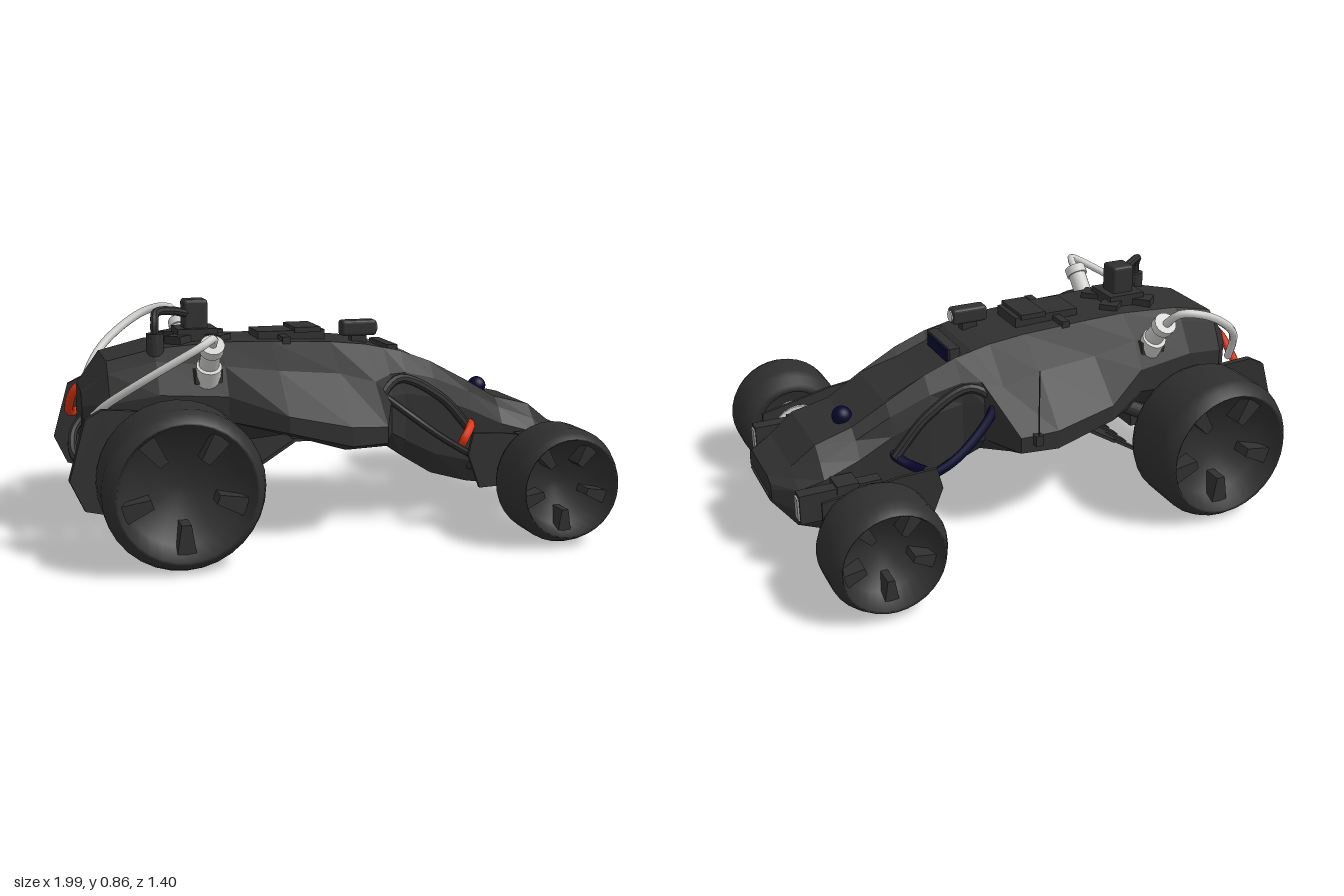
import * as THREE from 'three';
import { RoundedBoxGeometry } from 'three/addons/geometries/RoundedBoxGeometry.js';

function mat(name, color, opts = {}) {
  const m = new THREE.MeshStandardMaterial({ color, ...opts });
  m.name = name;
  return m;
}

export function createModel() {
  const root = new THREE.Group();
  root.name = 'buggy';
  const dark = mat('charcoal', 0x303030, { flatShading: true, side: THREE.DoubleSide });
  const tyre = mat('rubber', 0x2f2f2f, { side: THREE.DoubleSide });
  const grey = mat('light grey', 0xd2d2d0);
  const lens = mat('lens grey', 0x9c9c9a);
  const navy = mat('navy', 0x07072e);
  const red = mat('red', 0xe03512);

  const add = (parent, name, geo, material, x = 0, y = 0, z = 0) => {
    const m = new THREE.Mesh(geo, material);
    m.name = name;
    m.position.set(x, y, z);
    parent.add(m);
    return m;
  };
  const box = (parent, name, m, w, h, d, x, y, z) =>
    add(parent, name, new THREE.BoxGeometry(w, h, d), m, x, y, z);
  const hose = (parent, name, m, r, ...pts) => {
    const curve = new THREE.CatmullRomCurve3(pts.map(p => new THREE.Vector3(...p)));
    return add(parent, name, new THREE.TubeGeometry(curve, 28, r, 8), m);
  };
  // Cylinder running from a to b
  const rod = (parent, name, m, a, b, r0, r1 = r0, n = 16) => {
    const p = new THREE.Vector3(...a), q = new THREE.Vector3(...b), d = q.clone().sub(p);
    const c = add(parent, name, new THREE.CylinderGeometry(r1, r0, d.length(), n), m);
    c.position.copy(p).add(q).multiplyScalar(0.5);
    c.quaternion.setFromUnitVectors(new THREE.Vector3(0, 1, 0), d.normalize());
    return c;
  };
  const outline = pts => new THREE.Shape(pts.map(p => new THREE.Vector2(...p)));
  const plate = (parent, name, pts, depth, z) =>
    add(parent, name, new THREE.ExtrudeGeometry(outline(pts), { depth, bevelEnabled: false }), dark, 0, 0, z);

  // Body shell cross-sections: x, floor y, side half width, side low y, side high y, shoulder half width, shoulder y, roof y
  const stations = [
    [-0.92, 0.36, 0.13, 0.40, 0.50, 0.11, 0.54, 0.55],
    [-0.83, 0.33, 0.23, 0.40, 0.52, 0.18, 0.62, 0.66],
    [-0.66, 0.36, 0.27, 0.42, 0.55, 0.20, 0.66, 0.70],
    [-0.42, 0.36, 0.31, 0.45, 0.54, 0.25, 0.64, 0.715],
    [-0.23, 0.40, 0.43, 0.42, 0.48, 0.28, 0.62, 0.71],
    [0.00, 0.33, 0.44, 0.36, 0.43, 0.28, 0.60, 0.70],
    [0.14, 0.33, 0.42, 0.36, 0.42, 0.27, 0.56, 0.685],
    [0.21, 0.30, 0.26, 0.36, 0.50, 0.235, 0.58, 0.67],
    [0.28, 0.25, 0.22, 0.32, 0.50, 0.21, 0.58, 0.655],
    [0.40, 0.175, 0.22, 0.26, 0.48, 0.20, 0.55, 0.61],
    [0.55, 0.13, 0.21, 0.22, 0.42, 0.19, 0.49, 0.53],
    [0.68, 0.11, 0.22, 0.20, 0.36, 0.18, 0.42, 0.455],
    [0.82, 0.10, 0.24, 0.20, 0.32, 0.20, 0.37, 0.42],
    [0.91, 0.13, 0.22, 0.20, 0.29, 0.18, 0.32, 0.35],
    [0.99, 0.22, 0.15, 0.24, 0.28, 0.14, 0.30, 0.315],
  ];
  const verts = [], faces = [], N = 14;
  for (const [x, floor, side, low, high, shoulder, ys, roof] of stations) {
    const flat = Math.min(0.15, shoulder * 0.78);
    const sunk = roof - (x > 0.27 && x < 0.5 ? 0.035 : 0); // recessed bonnet panel
    const half = [[0, floor], [side * 0.8, floor], [side, low], [side, high], [shoulder, ys], [flat, roof], [flat - 0.015, sunk], [0, sunk]];
    const ring = half.concat(half.slice(1, 7).reverse().map(([z, y]) => [-z, y]));
    for (const [z, y] of ring) verts.push(x, y, z);
  }
  for (let i = 0; i < stations.length - 1; i++)
    for (let j = 0; j < N; j++) {
      const a = i * N + j, b = i * N + (j + 1) % N;
      faces.push(a, a + N, b, b, a + N, b + N);
    }
  const end = (stations.length - 1) * N;
  for (let j = 1; j < N - 1; j++) faces.push(0, j, j + 1, end, end + j + 1, end + j);
  const shell = new THREE.BufferGeometry();
  shell.setAttribute('position', new THREE.Float32BufferAttribute(verts, 3));
  shell.setIndex(faces);
  shell.computeVertexNormals();
  add(root, 'bodyShell', shell, dark);

  // Dished wheel with five wedge spokes, outer face towards +z
  const wheel = (R, w) => {
    const g = new THREE.Group();
    g.name = 'wheel';
    const prof = [[0, 0.03], [R * 0.6, 0.03], [R * 0.66, 0], [R * 0.8, 0], [R - 0.015, 0.027], [R, 0.06],
      [R, w - 0.06], [R - 0.012, w - 0.03], [R * 0.87, w], [R * 0.84, w - 0.005], [R * 0.72, w - 0.09], [R * 0.2, w - 0.14], [0, w - 0.14]];
    const geo = new THREE.LatheGeometry(prof.map(p => new THREE.Vector2(...p)), 32);
    geo.rotateX(Math.PI / 2);
    add(g, 'tyre', geo, tyre);
    const wedge = [[-0.12, 0.79], [0.12, 0.79], [0.06, 0.42], [-0.06, 0.42]].map(([x, y]) => [x * R, y * R]);
    for (let i = 0; i < 5; i++)
      plate(g, 'spoke', wedge, 0.08, w - 0.125).rotation.z = (i / 5) * Math.PI * 2 + Math.PI;
    return g;
  };

  // Everything mirrored left and right
  for (const s of [1, -1]) {
    const g = new THREE.Group();
    g.name = s > 0 ? 'leftSide' : 'rightSide';
    g.scale.z = s;
    root.add(g);
    const rear = wheel(0.278, 0.295), front = wheel(0.21, 0.245);
    rear.position.set(-0.627, 0.278, 0.33);
    front.position.set(0.733, 0.217, 0.457);
    g.add(rear, front);

    // Axles and hubs
    const rearAt = z => [-0.627, 0.278, z], frontAt = z => [0.733, 0.217, z];
    rod(g, 'rearAxle', dark, rearAt(0), rearAt(0.36), 0.06);
    rod(g, 'rearHub', grey, rearAt(0.305), rearAt(0.365), 0.13, 0.165, 24);
    rod(g, 'frontAxle', dark, frontAt(0), frontAt(0.4), 0.05);
    rod(g, 'frontHub', grey, frontAt(0.335), frontAt(0.38), 0.07, 0.08, 24);
    rod(g, 'frontHubDrum', grey, frontAt(0.38), frontAt(0.465), 0.11, 0.1, 24);
    rod(g, 'wishbone', dark, [0.55, 0.2, 0.18], [0.72, 0.2, 0.38], 0.018);
    rod(g, 'rearArm', dark, [-0.3, 0.42, 0.25], [-0.6, 0.27, 0.29], 0.03);

    // Headlight pod
    box(g, 'headlightPod', dark, 0.3, 0.11, 0.05, 0.785, 0.267, 0.293);
    box(g, 'headlightHousing', dark, 0.08, 0.14, 0.085, 0.76, 0.26, 0.28);
    box(g, 'headlightLens', lens, 0.008, 0.085, 0.036, 0.938, 0.267, 0.293);

    // Mud guards inside the wheels
    plate(g, 'frontGuard', [[0.45, 0.3], [0.47, 0.38], [0.6, 0.37], [0.88, 0.32], [0.88, 0.25], [0.6, 0.17], [0.5, 0.17]], 0.012, 0.46).rotation.y = 0.09;
    plate(g, 'rearGuard', [[-0.94, 0.5], [-0.88, 0.53], [-0.6, 0.5], [-0.72, 0.35], [-0.8, 0.14], [-0.95, 0.18], [-1, 0.29]], 0.025, 0.255).rotation.y = 0.11;

    // Arch frame ahead of the wide body
    hose(g, 'archFrame', dark, 0.018, [0.14, 0.34, 0.3], [0.16, 0.49, 0.27], [0.25, 0.56, 0.225], [0.42, 0.48, 0.22], [0.55, 0.34, 0.22]);

    // Exhaust socket
    box(g, 'exhaustBase', dark, 0.1, 0.05, 0.06, -0.485, 0.61, 0.25);
    rod(g, 'exhaustFlange', grey, [-0.485, 0.59, 0.245], [-0.485, 0.65, 0.285], 0.046);
    rod(g, 'exhaustPipe', grey, [-0.485, 0.62, 0.25], [-0.485, 0.725, 0.345], 0.036);
    rod(g, 'exhaustCollar', grey, [-0.485, 0.71, 0.33], [-0.485, 0.735, 0.355], 0.043);

    // Roof ridge
    box(g, 'roofRidge', dark, 0.03, 0.03, 0.08, -0.17, 0.71, 0.12);
  }

  // Exhaust hoses
  hose(root, 'leftExhaustHose', grey, 0.015, [-0.485, 0.73, 0.35], [-0.49, 0.762, 0.4], [-0.54, 0.74, 0.435], [-0.72, 0.63, 0.385], [-0.85, 0.53, 0.29], [-0.89, 0.48, 0.23]);
  hose(root, 'rightExhaustHose', grey, 0.016, [-0.485, 0.72, -0.345], [-0.51, 0.785, -0.41], [-0.6, 0.775, -0.435], [-0.77, 0.67, -0.37], [-0.86, 0.56, -0.27], [-0.88, 0.48, -0.22]);

  // Coloured and dark cables
  hose(root, 'redRearHose', red, 0.017, [-0.86, 0.58, -0.09], [-0.925, 0.52, -0.1], [-0.945, 0.44, -0.17], [-0.925, 0.41, -0.24], [-0.87, 0.42, -0.285], [-0.79, 0.44, -0.26]);
  hose(root, 'darkRearHose', dark, 0.016, [-0.88, 0.48, 0.05], [-0.95, 0.4, 0.09], [-0.95, 0.32, 0.17], [-0.86, 0.33, 0.26]);
  hose(root, 'redFrontHose', red, 0.017, [0.49, 0.28, 0.25], [0.5, 0.325, 0.275], [0.54, 0.365, 0.235], [0.55, 0.37, 0.19]);
  hose(root, 'navyLongHose', navy, 0.018, [0.17, 0.52, -0.27], [0.21, 0.46, -0.295], [0.37, 0.34, -0.335], [0.52, 0.28, -0.32], [0.65, 0.26, -0.3]);
  hose(root, 'navyShortHose', navy, 0.018, [0.47, 0.32, -0.325], [0.5, 0.32, -0.27], [0.54, 0.34, -0.22], [0.56, 0.37, -0.18]);
  hose(root, 'darkFrontHose', dark, 0.014, [0.17, 0.51, 0.26], [0.27, 0.43, 0.33], [0.38, 0.35, 0.34], [0.63, 0.2, 0.29]);

  // Visor slot and beacon
  box(root, 'visorFrame', dark, 0.04, 0.05, 0.22, 0.262, 0.648, 0);
  box(root, 'visor', navy, 0.008, 0.045, 0.18, 0.286, 0.642, 0);
  add(root, 'beacon', new THREE.SphereGeometry(0.037, 20, 14), navy, 0.688, 0.466, -0.055);

  // Nose grille, following the sloped chin
  const grille = new THREE.Group();
  grille.name = 'noseGrille';
  grille.position.set(0.922, 0.2, 0);
  grille.rotation.z = -0.6;
  root.add(grille);
  add(grille, 'grilleBlock', new RoundedBoxGeometry(0.06, 0.17, 0.26, 2, 0.012), dark);
  for (let i = 0; i < 8; i++) box(grille, 'grilleBar', dark, 0.014, 0.009, 0.24, 0.032, -0.072 + i * 0.0205, 0);

  // Roof stack with its cross base and side hose
  for (const a of [1, -1])
    box(root, 'stackBase', dark, 0.28, 0.03, 0.07, -0.485, 0.72, 0).rotation.y = a * Math.PI / 4;
  box(root, 'stackFoot', dark, 0.15, 0.05, 0.15, -0.485, 0.73, 0);
  add(root, 'roofStack', new RoundedBoxGeometry(0.09, 0.13, 0.09, 2, 0.012), dark, -0.485, 0.795, 0);
  hose(root, 'stackHose', dark, 0.016, [-0.52, 0.81, 0.03], [-0.58, 0.825, 0.07], [-0.645, 0.825, 0.12], [-0.655, 0.79, 0.15], [-0.655, 0.71, 0.15]);
  rod(root, 'hoseSocket', dark, [-0.655, 0.66, 0.15], [-0.655, 0.755, 0.15], 0.032);

  // Roof hatch and scope
  box(root, 'roofHatch', dark, 0.26, 0.045, 0.16, -0.13, 0.715, 0);
  box(root, 'hatchTop', dark, 0.1, 0.02, 0.18, -0.07, 0.74, 0);
  box(root, 'scopeFoot', dark, 0.06, 0.05, 0.04, 0.14, 0.7, 0.05);
  add(root, 'scope', new RoundedBoxGeometry(0.14, 0.06, 0.06, 2, 0.012), dark, 0.14, 0.737, 0.05);
  rod(root, 'scopeLens', grey, [0.208, 0.737, 0.05], [0.214, 0.737, 0.05], 0.022);

  // Antenna on the right flank
  rod(root, 'antenna', dark, [0.08, 0.42, -0.44], [0.08, 0.68, -0.44], 0.003, 0.002, 6);
  box(root, 'antennaFoot', dark, 0.03, 0.04, 0.04, 0.08, 0.41, -0.43);

  // Slatted skid plate under the rear
  const skid = new THREE.Group();
  skid.name = 'skidPlate';
  skid.position.set(-0.14, 0.34, 0);
  skid.rotation.z = 0.56;
  root.add(skid);
  box(skid, 'skidPanel', dark, 0.3, 0.012, 0.36, -0.15, 0, 0);
  for (let i = 0; i < 5; i++) box(skid, 'skidSlat', dark, 0.13, 0.012, 0.04, -0.36, 0, -0.14 + i * 0.07);
  box(root, 'skidMount', dark, 0.2, 0.012, 0.36, -0.05, 0.338, 0);
  box(root, 'gearbox', dark, 0.3, 0.18, 0.3, -0.63, 0.31, 0);
  return root;
}
